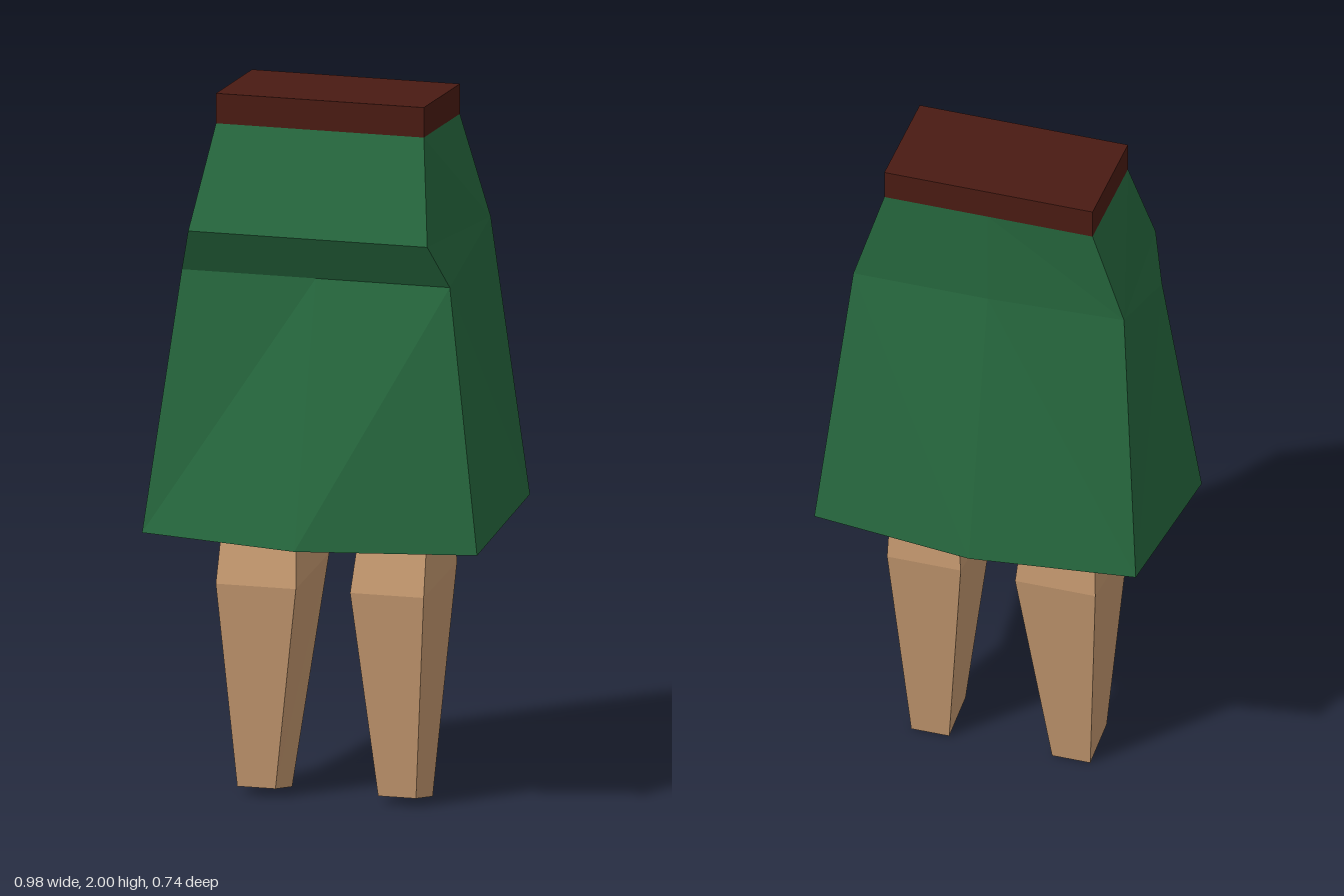
import * as THREE from 'three';

const material = (color) => new THREE.MeshStandardMaterial({ color, flatShading: true, side: THREE.DoubleSide });

// Skins closed rings of points, listed from top to bottom; shared points collapse to triangles.
function loft(name, rings, mat) {
  const pos = [];
  const tri = (...p) => {
    const same = (a, b) => a.every((v, k) => v === b[k]);
    if (!same(p[0], p[1]) && !same(p[1], p[2]) && !same(p[2], p[0])) pos.push(...p.flat());
  };
  for (let r = 0; r < rings.length - 1; r++) {
    const up = rings[r], low = rings[r + 1], n = up.length;
    for (let i = 0; i < n; i++) {
      const j = (i + 1) % n;
      if (i < 2 || i === 5) {
        tri(low[i], low[j], up[j]);
        tri(low[i], up[j], up[i]);
      } else {
        tri(low[i], low[j], up[i]);
        tri(low[j], up[j], up[i]);
      }
    }
  }
  const geo = new THREE.BufferGeometry();
  geo.setAttribute('position', new THREE.Float32BufferAttribute(pos, 3));
  geo.computeVertexNormals();
  const mesh = new THREE.Mesh(geo, mat);
  mesh.name = name;
  return mesh;
}

export function createModel() {
  const group = new THREE.Group();
  group.name = 'skirtAndLegs';
  const green = material(0x26683e);
  const skin = material(0xc4986f);
  const leather = material(0x4a1b13);

  // Belt
  const belt = new THREE.Mesh(new THREE.BoxGeometry(0.605, 0.085, 0.325), leather);
  belt.name = 'belt';
  belt.position.set(-0.0125, 1.9575, -0.0345);
  group.add(belt);

  // Skirt: each ring runs front right, middle, left, then back left, middle, right
  const hipBack = [[0.38, 1.63, -0.197], [-0.01, 1.63, -0.197], [-0.4, 1.63, -0.177]];
  const waist = [
    [-0.315, 1.915, 0.128], [-0.01, 1.915, 0.128], [0.29, 1.915, 0.128],
    [0.29, 1.915, -0.197], [-0.01, 1.915, -0.197], [-0.315, 1.915, -0.197],
  ];
  const bulge = [[-0.36, 1.63, 0.24], [-0.01, 1.63, 0.24], [0.336, 1.63, 0.24], ...hipBack];
  const fold = [[-0.4, 1.505, 0.173], [-0.01, 1.505, 0.173], [0.38, 1.505, 0.173], ...hipBack];
  const hem = [
    [-0.488, 0.77, 0.259], [-0.01, 0.77, 0.368], [0.487, 0.77, 0.259],
    [0.466, 0.83, -0.284], [-0.01, 0.853, -0.37], [-0.468, 0.83, -0.284],
  ];
  group.add(loft('skirt', [waist, bulge, fold, hem], green));

  // Legs: square rings at thigh, knee and ankle, given as [yFront, zFront, yBack, zBack]
  const levels = [[1.05, 0.02, 1.0, -0.135], [0.61, 0.13, 0.65, -0.172], [0.025, 0.066, 0, -0.085]];
  const widths = {
    rightLeg: [[-0.3, -0.115], [-0.315, -0.082], [-0.273, -0.162]],
    leftLeg: [[0.11, 0.28], [0.076, 0.29], [0.137, 0.247]],
  };
  for (const [name, xs] of Object.entries(widths)) {
    const rings = levels.map(([yf, zf, yb, zb], k) => {
      const [x0, x1] = xs[k];
      return [[x0, yf, zf], [x1, yf, zf], [x1, yb, zb], [x0, yb, zb]];
    });
    group.add(loft(name, rings, skin));
  }
  return group;
}
